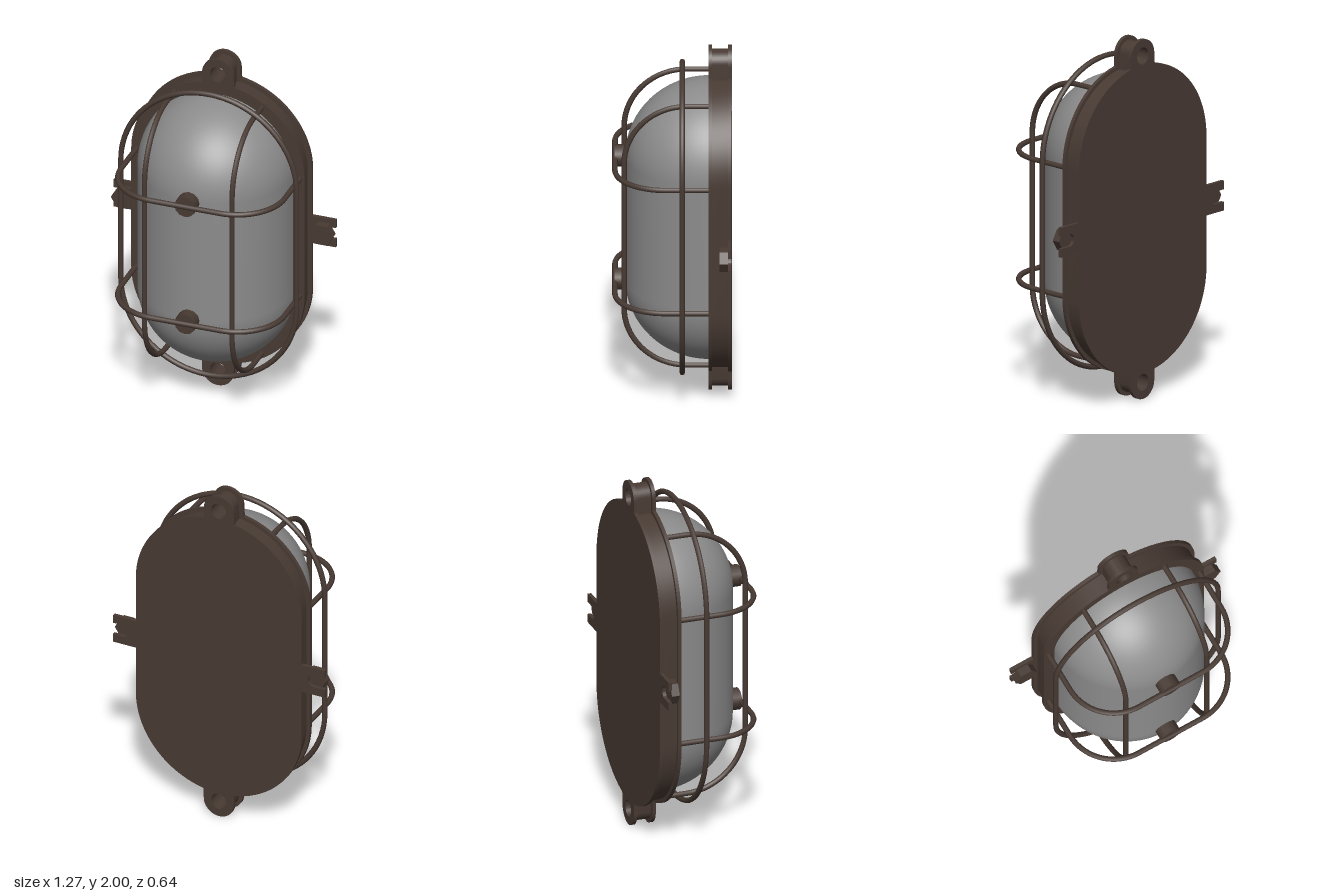
import * as THREE from 'three';
import { toCreasedNormals } from 'three/addons/utils/BufferGeometryUtils.js';

const END = 0.36;   // distance of the rounded end centres from the middle
const MID = 1;      // height of the middle
const WIRE = 0.015; // cage wire radius

// Upright stadium outline, centred on the origin
function stadium(r) {
  const s = new THREE.Shape();
  s.moveTo(r, -END);
  s.lineTo(r, END);
  s.absarc(0, END, r, 0, Math.PI, false);
  s.lineTo(-r, -END);
  s.absarc(0, -END, r, Math.PI, Math.PI * 2, false);
  return s;
}

// Eyelet outline pointing up, with its hole
function eyelet(r) {
  const s = new THREE.Shape();
  s.moveTo(-r - 0.005, 0.8);
  s.lineTo(r + 0.005, 0.8);
  s.lineTo(r, 0.91);
  s.absarc(0, 0.91, r, 0, Math.PI, false);
  s.closePath();
  const hole = new THREE.Path();
  hole.absellipse(0, 0.908, 0.044, 0.047, 0, Math.PI * 2, true);
  s.holes.push(hole);
  return s;
}

// Slotted bracket outline pointing to +x
function bracket() {
  const s = new THREE.Shape();
  s.moveTo(0.45, -0.083);
  s.lineTo(0.635, -0.083);
  s.lineTo(0.635, -0.035);
  s.lineTo(0.57, -0.035);
  s.absarc(0.57, 0, 0.035, -Math.PI / 2, Math.PI / 2, true);
  s.lineTo(0.635, 0.035);
  s.lineTo(0.635, 0.083);
  s.lineTo(0.45, 0.083);
  s.closePath();
  return s;
}

// Half of a wire loop: straight legs, rounded corners, flat front
function loopPath(halfSpan, back, front, r) {
  const p = new THREE.Path();
  p.moveTo(-halfSpan, back);
  p.lineTo(-halfSpan, front - r);
  p.absarc(-halfSpan + r, front - r, r, Math.PI, Math.PI / 2, true);
  p.lineTo(halfSpan - r, front);
  p.absarc(halfSpan - r, front - r, r, Math.PI / 2, 0, true);
  p.lineTo(halfSpan, back);
  return p;
}

function wire(path, toPoint, closed = false) {
  const pts = path.getSpacedPoints(90).map(toPoint);
  if (closed) pts.pop();
  return new THREE.TubeGeometry(new THREE.CatmullRomCurve3(pts, closed), 120, WIRE, 8, closed);
}

export function createModel() {
  const group = new THREE.Group();
  const metal = new THREE.MeshStandardMaterial({ color: 0x483a33 });
  metal.name = 'dark bronze metal';
  const glass = new THREE.MeshStandardMaterial({ color: 0x8c8c8c });
  glass.name = 'grey glass';

  const add = (name, geometry, material = metal, x = 0, y = 0, z = 0) => {
    const mesh = new THREE.Mesh(geometry, material);
    mesh.name = name;
    mesh.position.set(x, y, z);
    group.add(mesh);
    return mesh;
  };
  const slab = (shape, z0, z1) => {
    const g = new THREE.ExtrudeGeometry(shape, { depth: z1 - z0, bevelEnabled: false, curveSegments: 24 });
    g.translate(0, 0, z0);
    return toCreasedNormals(g, 0.5);
  };

  // Housing: three layers, each with an eyelet at both ends
  const layers = [
    ['backFlange', 0.498, 0.09, -0.32, -0.30],
    ['housingBody', 0.474, 0.068, -0.30, -0.215],
    ['frontFlange', 0.495, 0.09, -0.215, -0.195],
  ];
  for (const [name, r, eye, z0, z1] of layers) {
    add(name, slab(stadium(r), z0, z1), metal, 0, MID);
    for (const turn of [0, Math.PI]) {
      add(name + 'Eyelet', slab(eyelet(eye), z0, z1), metal, 0, MID).rotation.z = turn;
    }
  }

  // Side brackets with hexagonal bolts
  for (const side of [1, -1]) {
    add('sideBracket', slab(bracket(), -0.32, -0.30), metal, 0, MID).rotation.z = side > 0 ? 0 : Math.PI;
    const head = new THREE.CylinderGeometry(0.066, 0.066, 0.045, 6).toNonIndexed();
    head.computeVertexNormals();
    head.rotateX(Math.PI / 2).rotateZ(Math.PI / 6);
    add('boltHead', head, metal, side * 0.568, MID, -0.2775);
  }

  // Glass dome: front half of a capsule
  const R = 0.43;
  const profile = [];
  for (let i = 0; i <= 20; i++) {
    const a = -Math.PI / 2 + (i / 20) * Math.PI / 2;
    profile.push(new THREE.Vector2(R * Math.cos(a), -END + R * Math.sin(a)));
  }
  for (let i = 0; i <= 20; i++) {
    const a = (i / 20) * Math.PI / 2;
    profile.push(new THREE.Vector2(R * Math.cos(a), END + R * Math.sin(a)));
  }
  const dome = new THREE.LatheGeometry(profile, 40, -Math.PI / 2, Math.PI);
  add('glassDome', dome, glass, 0, MID, -0.2).scale.z = 0.45 / R;

  // Cage: outer ring, two upright loops, two cross hoops with bosses
  add('cageRing', wire(stadium(0.502), p => new THREE.Vector3(p.x, p.y, 0), true), metal, 0, MID, -0.055);
  for (const x of [-0.25, 0.25]) {
    add('uprightWire', wire(loopPath(0.755, -0.2, 0.256, 0.335), p => new THREE.Vector3(0, p.x, p.y)), metal, x, MID);
  }
  for (const y of [-END, END]) {
    add('crossHoop', wire(loopPath(0.467, -0.2, 0.305, 0.27), p => new THREE.Vector3(p.x, 0, p.y)), metal, 0, MID + y);
    const boss = new THREE.CylinderGeometry(0.06, 0.06, 0.08, 12).rotateX(Math.PI / 2);
    add('cageBoss', boss, metal, 0, MID + y, 0.268);
  }
  return group;
}
